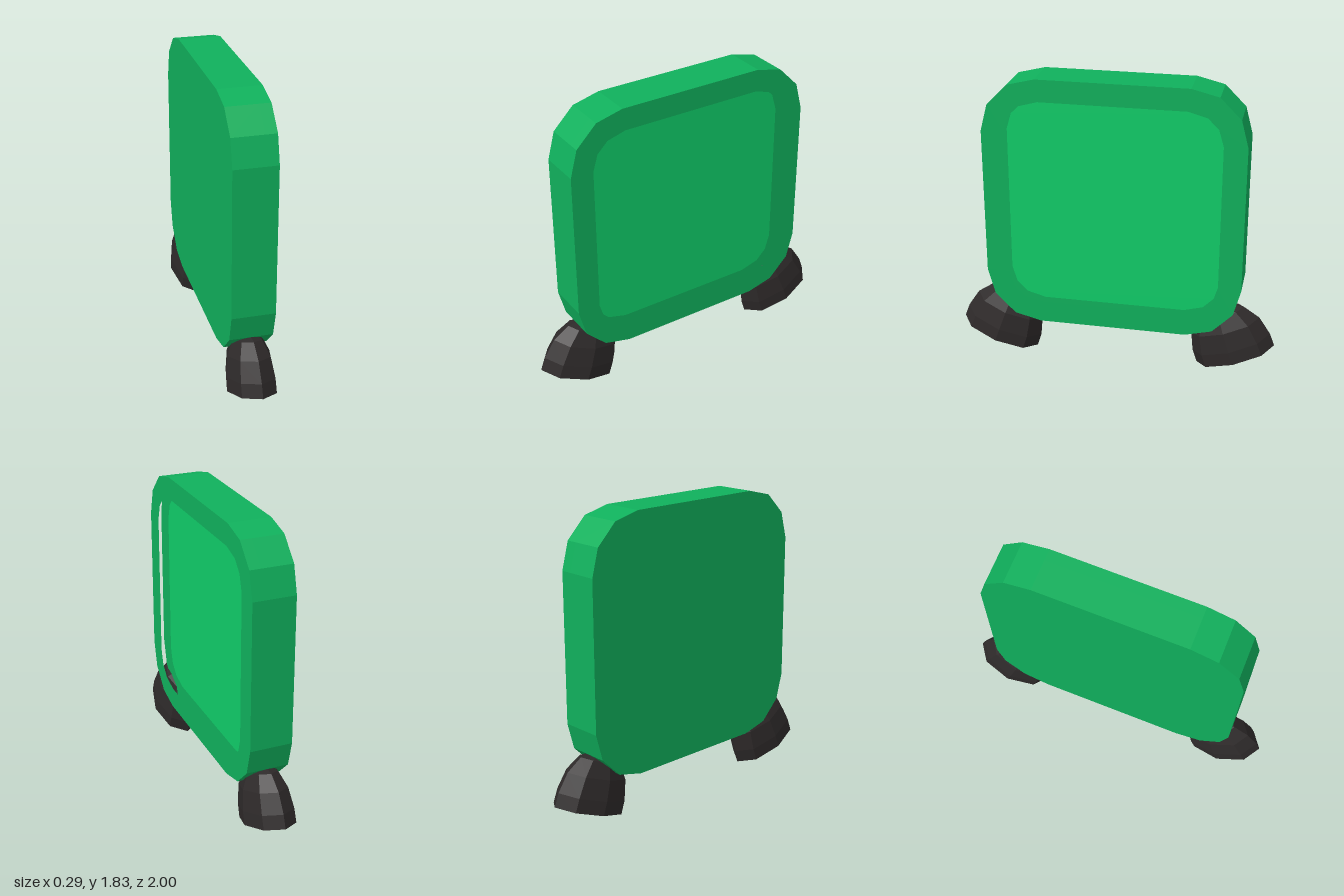
import * as THREE from 'three';

const CENTER_Y = 1.048;

// Mirror one corner (top to side) into a closed, symmetric outline
function outline(corner, PathType) {
  const flip = (sx, sy) => corner.map(([a, b]) => new THREE.Vector2(a * sx, CENTER_Y + b * sy));
  return new PathType([
    ...flip(1, 1),
    ...flip(1, -1).reverse(),
    ...flip(-1, -1),
    ...flip(-1, 1).reverse(),
  ]);
}

const OUTER = [[0.455, 0.787], [0.62, 0.746], [0.746, 0.62], [0.79, 0.455]];
const INNER = [[0.44, 0.652], [0.555, 0.62], [0.62, 0.555], [0.65, 0.455]];

export function createModel() {
  const model = new THREE.Group();
  const caseMaterial = new THREE.MeshStandardMaterial({ color: 0x10b05c, flatShading: true });
  const panelMaterial = new THREE.MeshStandardMaterial({ color: 0x10cc68, flatShading: true });
  const footMaterial = new THREE.MeshStandardMaterial({ color: 0x2e2a2a, flatShading: true });

  // Add a plate lying across x, from x0 to x1
  function plate(name, shape, x0, x1, material) {
    const geometry = new THREE.ExtrudeGeometry(shape, { depth: x1 - x0, bevelEnabled: false });
    geometry.translate(0, 0, x0).rotateY(Math.PI / 2);
    const mesh = new THREE.Mesh(geometry, material);
    mesh.name = name;
    model.add(mesh);
  }

  // Solid back, raised rim and the recessed panel inside it
  plate('backPlate', outline(OUTER, THREE.Shape), -0.13, 0.06, caseMaterial);
  const rim = outline(OUTER, THREE.Shape);
  rim.holes.push(outline(INNER, THREE.Path));
  plate('rim', rim, 0.06, 0.13, caseMaterial);
  plate('recessedPanel', outline(INNER, THREE.Shape), 0.05, 0.063, panelMaterial);

  // Narrow eight-sided domed feet, tilted outwards at both ends
  const profile = [[0, 0], [0.255, 0], [0.253, 0.085], [0.222, 0.208], [0.15, 0.303], [0.085, 0.328], [0, 0.335]]
    .map(([r, y]) => new THREE.Vector2(r, y));
  const footGeometry = new THREE.LatheGeometry(profile, 8);
  footGeometry.scale(0.57, 1, 1).rotateX(-0.34).translate(0, 0.09, 0.76);
  for (const [name, turn] of [['frontFoot', 0], ['backFoot', Math.PI]]) {
    const foot = new THREE.Mesh(footGeometry, footMaterial);
    foot.name = name;
    foot.rotation.y = turn;
    model.add(foot);
  }
  return model;
}
